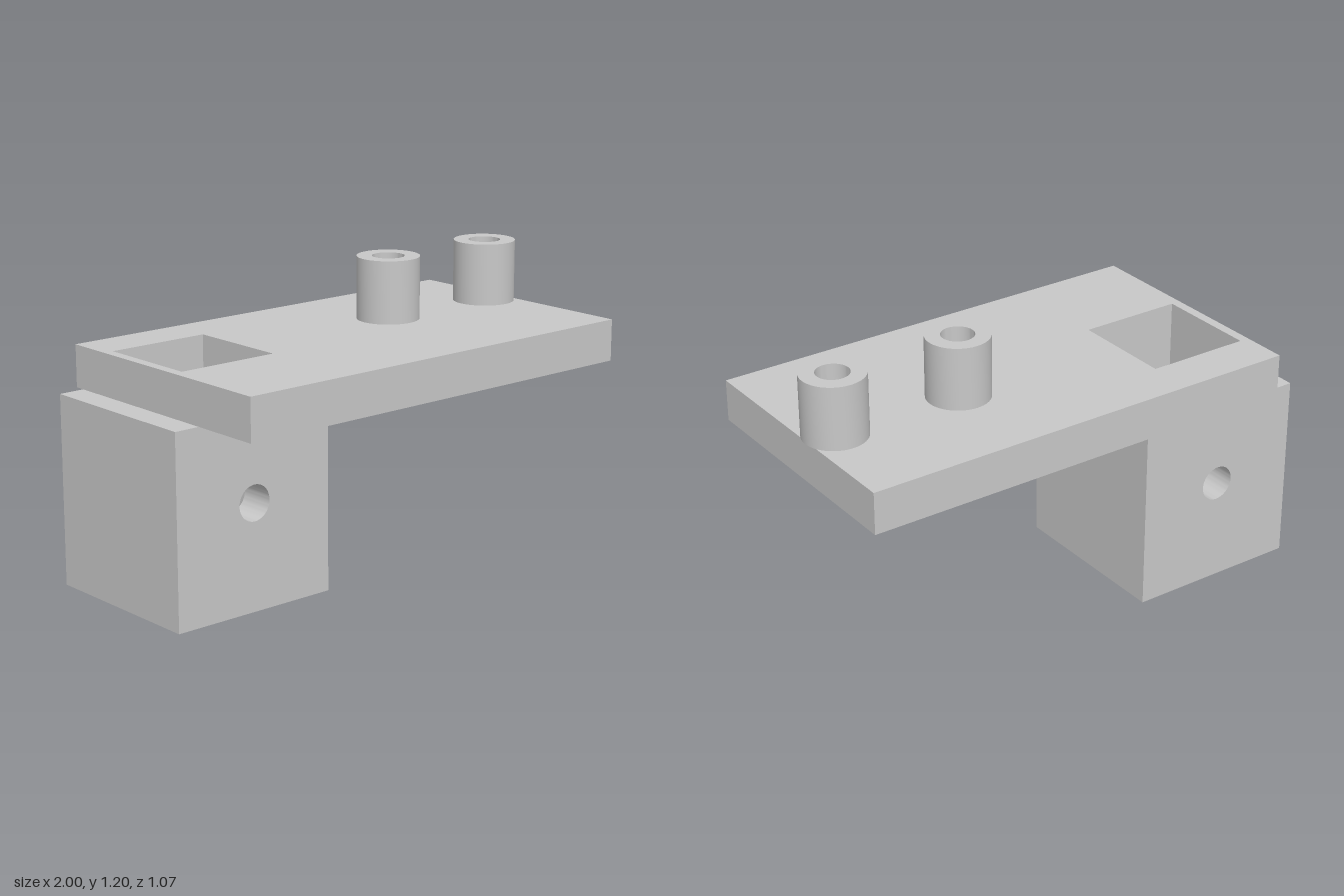
import * as THREE from 'three';
import { toCreasedNormals } from 'three/addons/utils/BufferGeometryUtils.js';

const grey = new THREE.MeshStandardMaterial({ color: 0xc8c8c8 });
grey.name = 'lightGrey';

// Traces a rectangle on a shape or hole path
function rect(path, x0, y0, x1, y1) {
  path.moveTo(x0, y0);
  path.lineTo(x1, y0);
  path.lineTo(x1, y1);
  path.lineTo(x0, y1);
  path.closePath();
  return path;
}

// Extrudes a shape, keeping round holes smooth and corners sharp
function slab(shape, depth) {
  const geometry = new THREE.ExtrudeGeometry(shape, { depth, bevelEnabled: false, curveSegments: 32 });
  return toCreasedNormals(geometry, 0.6);
}

function part(parent, name, geometry, x = 0, y = 0, z = 0) {
  const mesh = new THREE.Mesh(geometry, grey);
  mesh.name = name;
  mesh.position.set(x, y, z);
  parent.add(mesh);
  return mesh;
}

export function createModel() {
  const model = new THREE.Group();
  model.name = 'mountingBracket';

  // Socket centre and half widths, shared with the plate opening
  const cx = -0.637, cz = -0.129, half = 0.363, inner = 0.216, wall = half - inner;

  // Plate with a square opening above the socket
  const plateBottom = 0.771, plateTop = 0.942;
  const plate = rect(new THREE.Shape(), -0.893, -0.534, 0.987, 0.534);
  plate.holes.push(rect(new THREE.Path(), cx - inner, -cz - inner, cx + inner, -cz + inner));
  const plateGeometry = slab(plate, plateTop - plateBottom).rotateX(-Math.PI / 2);
  part(model, 'plate', plateGeometry, 0, plateBottom, 0);

  // Square socket: drilled front and back walls joined by plain side walls
  const socket = new THREE.Group();
  socket.name = 'socket';
  socket.position.set(cx, 0, cz);
  model.add(socket);
  const drilled = rect(new THREE.Shape(), -half, 0, half, plateBottom);
  const bore = new THREE.Path();
  bore.absarc(0, 0.43, 0.072, 0, Math.PI * 2, true);
  drilled.holes.push(bore);
  const drilledWall = slab(drilled, wall);
  part(socket, 'frontWall', drilledWall, 0, 0, inner);
  part(socket, 'backWall', drilledWall, 0, 0, -half);
  const sideWall = new THREE.BoxGeometry(wall, plateBottom, inner * 2);
  for (const side of [-1, 1]) {
    part(socket, side < 0 ? 'rightWall' : 'leftWall', sideWall, side * (half + inner) / 2, plateBottom / 2, 0);
  }

  // Two hollow posts on the plate
  const height = 1.199 - plateTop;
  const profile = [[0.066, 0], [0.128, 0], [0.128, height], [0.066, height], [0.066, 0]]
    .map(([r, y]) => new THREE.Vector2(r, y));
  const post = toCreasedNormals(new THREE.LatheGeometry(profile, 48), 0.6);
  part(model, 'innerPost', post, 0.327, plateTop, -0.086);
  part(model, 'outerPost', post, 0.872, plateTop, -0.086);

  return model;
}
